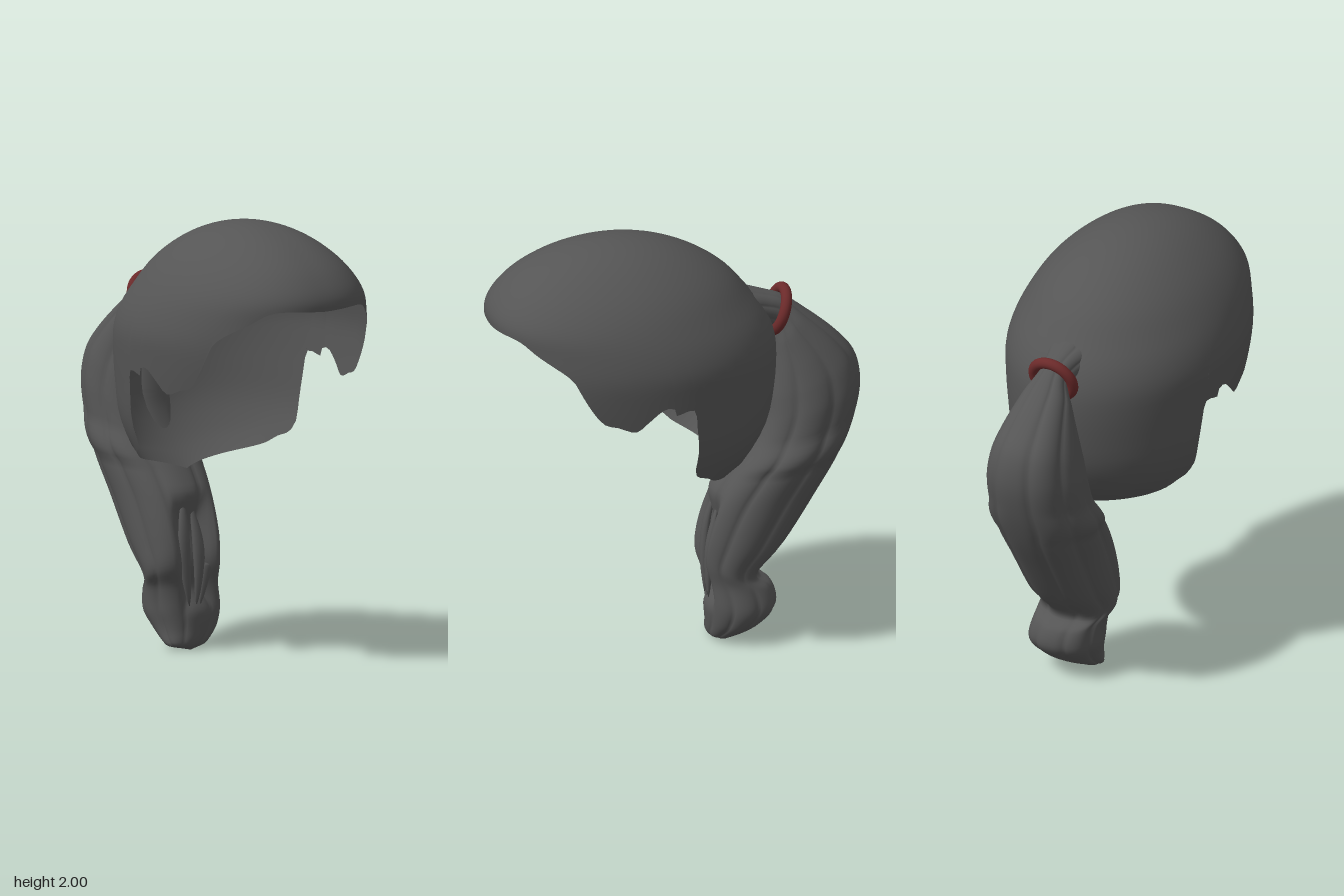
import * as THREE from 'three';
import { mergeVertices } from 'three/addons/utils/BufferGeometryUtils.js';

const hair = new THREE.MeshStandardMaterial({ color: 0x555555, side: THREE.DoubleSide });
const band = new THREE.MeshStandardMaterial({ color: 0x6b2a2a });

// Smooth surface from a rule point(u, v), u and v in 0..1
function surface(nu, nv, point) {
  const pos = [], index = [];
  for (let j = 0; j <= nv; j++)
    for (let i = 0; i <= nu; i++) pos.push(...point(i / nu, j / nv));
  for (let j = 0; j < nv; j++)
    for (let i = 0; i < nu; i++) {
      const a = j * (nu + 1) + i, b = a + 1, c = a + nu + 1, d = c + 1;
      index.push(a, c, b, b, c, d);
    }
  let geo = new THREE.BufferGeometry();
  geo.setAttribute('position', new THREE.Float32BufferAttribute(pos, 3));
  geo.setIndex(index);
  geo = mergeVertices(geo, 1e-5);
  geo.computeVertexNormals();
  return geo;
}

function mesh(name, geo, material) {
  const m = new THREE.Mesh(geo, material);
  m.name = name;
  return m;
}

// Head outline by height: y, half width, front z, back z
const levels = [
  [2, 0, 0.28, 0.28], [1.98, 0.13, 0.46, 0.1], [1.9, 0.28, 0.67, -0.11],
  [1.8, 0.385, 0.8, -0.25], [1.7, 0.45, 0.86, -0.335], [1.6, 0.49, 0.85, -0.41],
  [1.5, 0.51, 0.84, -0.45], [1.4, 0.505, 0.83, -0.46], [1.25, 0.49, 0.78, -0.45],
  [1.1, 0.47, 0.7, -0.42], [1.0, 0.44, 0.65, -0.37], [0.9, 0.37, 0.5, -0.295],
  [0.82, 0.2, 0.3, -0.2],
];
const outline = new THREE.CubicInterpolant(
  levels.map((l) => Math.sqrt(2 - l[0])), levels.flatMap((l) => l.slice(1)), 3, new Float32Array(3));
function headAt(y) {
  const [w, zf, zb] = outline.evaluate(Math.sqrt(Math.max(0, 2 - y)));
  return { w, zc: (zf + zb) / 2, h: (zf - zb) / 2 };
}

// Hairline from the forehead round the ear to the nape: z, y
const hairline = [
  [0.9, 1.66], [0.8, 1.665], [0.72, 1.61], [0.6, 1.53], [0.55, 1.45], [0.46, 1.31],
  [0.39, 1.285], [0.31, 1.26], [0.25, 1.31], [0.19, 1.36], [0.14, 1.365], [0.13, 1.325],
  [0.04, 1.335], [0.02, 1.2], [0.02, 1.0], [-0.05, 0.95], [-0.13, 0.9], [-0.3, 0.82],
];

function capGeometry() {
  const edge = new THREE.SplineCurve(hairline.map(([z, y]) => {
    const { zc, h } = headAt(y);
    return new THREE.Vector2(Math.acos(THREE.MathUtils.clamp((z - zc) / h, -1, 1)), y);
  }));
  edge.arcLengthDivisions = 600;
  return surface(160, 36, (u, t) => {
    const side = u * 2 - 1, k = Math.abs(side);
    const end = edge.getPointAt(k);
    const y = 2 - (2 - end.y) * t * t;
    const angle = THREE.MathUtils.clamp(THREE.MathUtils.lerp(Math.PI * k, end.x, t), 0, Math.PI);
    const { w, zc, h } = headAt(y);
    const c = Math.cos(angle), s = Math.max(0, Math.sin(angle));
    return [Math.sign(side) * w * (c > 0 ? s ** 0.85 : s), y, zc + h * c];
  });
}

// Ponytail sections: back z, back y, front z, front y, half width, x shift
const tail = [
  [-0.34, 1.69, -0.33, 1.52, 0.11, 0], [-0.42, 1.665, -0.4, 1.51, 0.085, 0],
  [-0.5, 1.635, -0.45, 1.49, 0.075, 0], [-0.6, 1.56, -0.45, 1.4, 0.12, 0],
  [-0.75, 1.43, -0.43, 1.28, 0.17, 0], [-0.83, 1.33, -0.41, 1.18, 0.2, 0],
  [-0.855, 1.2, -0.39, 1.07, 0.22, 0], [-0.83, 1.05, -0.34, 0.95, 0.225, 0],
  [-0.76, 0.87, -0.24, 0.82, 0.225, 0], [-0.65, 0.68, -0.15, 0.68, 0.21, 0],
  [-0.5, 0.45, -0.1, 0.52, 0.2, 0], [-0.38, 0.31, -0.1, 0.4, 0.185, 0],
  [-0.44, 0.26, -0.12, 0.3, 0.17, 0.02], [-0.455, 0.17, -0.13, 0.2, 0.175, 0.035],
  [-0.38, 0.09, -0.14, 0.1, 0.15, 0.03], [-0.26, 0.02, -0.15, 0.03, 0.1, 0],
  [-0.21, 0.005, -0.17, 0.005, 0.01, 0],
];

function tailGeometry() {
  const curve = (f) => new THREE.CatmullRomCurve3(tail.map((s) => new THREE.Vector3(...f(s))));
  const back = curve((s) => [s[5], s[1], s[0]]);
  const front = curve((s) => [s[5], s[3], s[2]]);
  const width = curve((s) => [s[4], 0, 0]);
  return surface(96, 90, (u, t) => {
    const a = u * Math.PI * 2;
    const b = back.getPoint(t), f = front.getPoint(t), w = width.getPoint(t).x;
    const c = Math.cos(a), s = Math.sin(a);
    // Rounded strands, with a hollow in the front near the tip
    let r = 0.91 + 0.09 * Math.sqrt(Math.abs(Math.cos(4 * a + 0.5 * Math.sin(3 * t))));
    const hollow = THREE.MathUtils.smoothstep(t, 0.54, 0.62) * (1 - THREE.MathUtils.smoothstep(t, 0.74, 0.84));
    r *= 1 - 0.4 * hollow * THREE.MathUtils.smoothstep(-c, 0.85, 0.96);
    const p = b.clone().add(f).multiplyScalar(0.5).addScaledVector(b.sub(f), 0.5 * r * c);
    return [p.x - Math.sign(s) * w * r * Math.abs(s) ** 0.85, p.y, p.z];
  });
}

// Flat tapered lock along a short path
function lockGeometry(points, radius) {
  const path = new THREE.CatmullRomCurve3(points.map((p) => new THREE.Vector3(...p)));
  return surface(10, 14, (u, t) => {
    const p = path.getPoint(t), r = radius * Math.sin(Math.PI * t) ** 0.7, a = u * Math.PI * 2;
    return [p.x - r * Math.sin(a), p.y, p.z - 0.6 * r * Math.cos(a)];
  });
}

export function createModel() {
  const model = new THREE.Group();
  model.name = 'ponytailHair';
  model.add(mesh('hairCap', capGeometry(), hair));
  model.add(mesh('ponytail', tailGeometry(), hair));

  // Loose locks in the hollow near the tip
  const locks = new THREE.Group();
  locks.name = 'looseLocks';
  [[-0.045, 0.7], [0.03, 0.66], [0.07, 0.55]].forEach(([x, top]) =>
    locks.add(mesh('looseLock', lockGeometry(
      [[x * 0.6, top, -0.2], [x, top - 0.15, -0.165], [x, 0.38, -0.15], [x * 0.5, 0.2, -0.15]], 0.03), hair)));
  model.add(locks);

  // Hair tie
  const tie = mesh('hairTie', new THREE.TorusGeometry(0.098, 0.025, 16, 48), band);
  tie.position.set(0, 1.565, -0.48);
  tie.rotation.x = -0.35;
  model.add(tie);
  return model;
}
